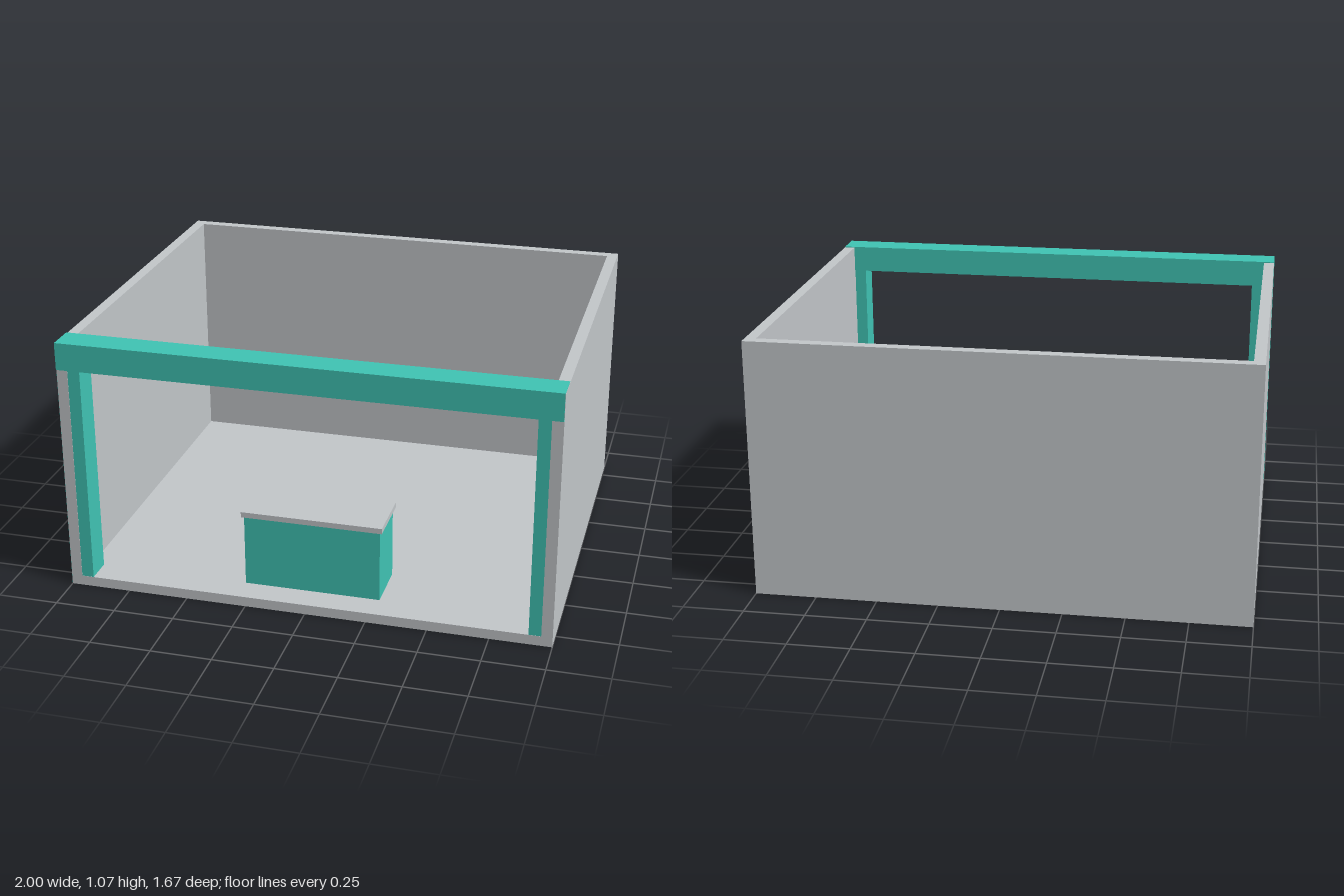
import * as THREE from 'three';

export function createModel() {
  const group = new THREE.Group();
  group.name = 'openBooth';
  const grey = new THREE.MeshStandardMaterial({ name: 'lightGrey', color: 0xc3c7ca });
  const teal = new THREE.MeshStandardMaterial({ name: 'teal', color: 0x40c4b4 });

  // Box given by its minimum and maximum corners
  const box = (name, material, [x0, y0, z0], [x1, y1, z1]) => {
    const mesh = new THREE.Mesh(new THREE.BoxGeometry(x1 - x0, y1 - y0, z1 - z0), material);
    mesh.position.set((x0 + x1) / 2, (y0 + y1) / 2, (z0 + z1) / 2);
    mesh.name = name;
    group.add(mesh);
  };

  const W = 1, D = 0.834, H = 1.066, T = 0.045, FLOOR = 0.042;

  // Shell: floor, back wall and two side walls
  box('floor', grey, [-W, 0, -D], [W, FLOOR, D]);
  box('backWall', grey, [-W, FLOOR, -D], [W, H, -D + T]);
  box('leftWall', grey, [W - T, FLOOR, -D + T], [W, H, D]);
  box('rightWall', grey, [-W, FLOOR, -D + T], [-W + T, H, D]);

  // Front posts and the beam they carry
  box('leftPost', teal, [0.905, FLOOR, 0.722], [W - T, 0.957, D - 0.001]);
  box('rightPost', teal, [-W + T, FLOOR, 0.722], [-0.905, 0.957, D - 0.001]);
  box('frontBeam', teal, [-W - 0.001, 0.957, 0.717], [W - 0.001, 1.07, D + 0.003]);

  // Outer face of the right post, showing through the side wall
  box('rightPostFace', teal, [-W - 0.001, 0, 0.722], [-W + 0.002, 0.957, D - 0.001]);

  // Counter with an overhanging top
  box('counterBody', teal, [-0.282, FLOOR, 0.5], [0.282, 0.347, 0.72]);
  box('counterTop', grey, [-0.292, 0.347, 0.49], [0.292, 0.37, 0.73]);

  return group;
}
